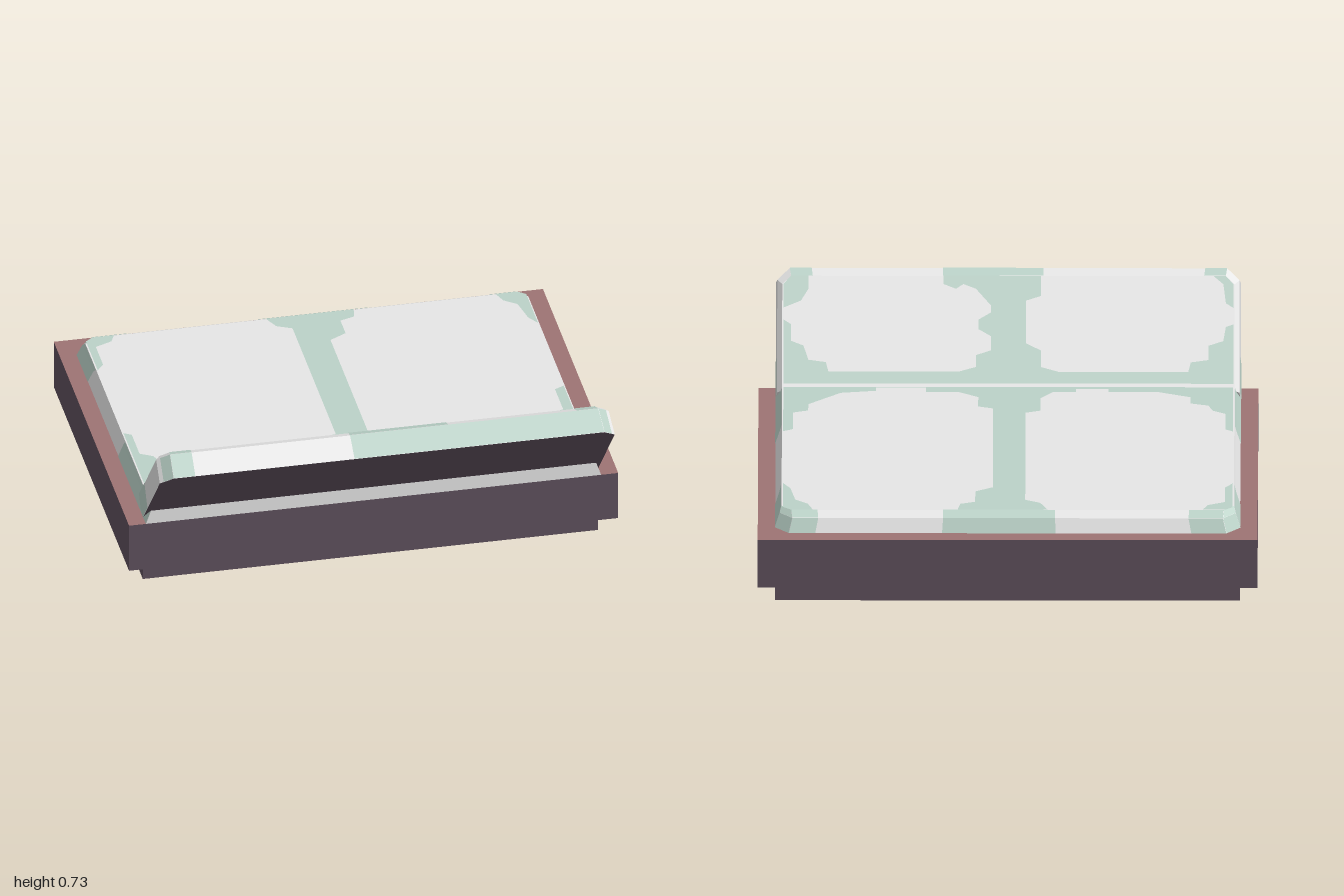
import * as THREE from 'three';

const mat = (name, color) => Object.assign(new THREE.MeshStandardMaterial({ color }), { name });

// Flat-shaded mesh from convex polygons, each a counter-clockwise list of Vector3
function polyMesh(name, polys, material) {
  const pos = [];
  for (const p of polys)
    for (let i = 1; i < p.length - 1; i++)
      for (const v of [p[0], p[i], p[i + 1]]) pos.push(v.x, v.y, v.z);
  const g = new THREE.BufferGeometry();
  g.setAttribute('position', new THREE.Float32BufferAttribute(pos, 3));
  g.computeVertexNormals();
  const m = new THREE.Mesh(g, material);
  m.name = name;
  return m;
}

// Cushion outline: square near end, clipped corners at the far end (-z)
const outline = (w, h, s0, L, c) =>
  [[-w, s0], [w, s0], [w, L - c], [w - c, L], [-w + c, L], [-w, L - c]]
    .map(([x, s]) => new THREE.Vector3(x, h, -s));

function bandQuad(rings, band, edge, t0, t1) {
  const at = (r, t) => rings[r][edge].clone().lerp(rings[r][(edge + 1) % 6], t);
  return [at(band, t0), at(band, t1), at(band + 1, t1), at(band + 1, t0)];
}

// Bevelled cushion with coloured patches on its edges and top
function cushion(name, rings, mats, edgePatches, topPatches) {
  const group = new THREE.Group();
  group.name = name;
  const faces = [rings[2]];
  for (let b = 0; b < 2; b++)
    for (let e = 0; e < 6; e++) faces.push(bandQuad(rings, b, e, 0, 1));
  group.add(polyMesh(name + 'Cover', faces, mats.cloth));
  group.add(polyMesh(name + 'Underside', [[...rings[0]].reverse()], mats.dark));

  // Edge patches sit just off the cover
  const quads = edgePatches.map(([b, e, t0, t1]) => {
    const q = bandQuad(rings, b, e, t0, t1);
    const n = q[1].clone().sub(q[0]).cross(q[3].clone().sub(q[0])).setLength(0.002);
    return q.map(v => v.add(n));
  });
  group.add(polyMesh(name + 'EdgePatches', quads, mats.green));

  // Top patches
  const shapes = topPatches.map(p => new THREE.Shape(p.map(q => new THREE.Vector2(...q))));
  const top = new THREE.Mesh(new THREE.ShapeGeometry(shapes), mats.green);
  top.name = name + 'TopPatches';
  top.rotation.x = -Math.PI / 2;
  top.position.y = rings[2][0].y + 0.002;
  group.add(top);
  return group;
}

export function createModel() {
  const model = new THREE.Group();
  model.name = 'lounger';
  const mats = {
    cloth: mat('pale cloth', 0xe6e6e6),
    green: mat('pale green', 0xbbd2c8),
    dark: mat('dark purple', 0x5f505d),
    rim: mat('rose brown', 0x9d7373),
  };

  // Base frame with a differently coloured top, on a recessed plinth
  const { dark, rim } = mats;
  const frame = new THREE.Mesh(new THREE.BoxGeometry(2, 0.21, 1.465), [dark, dark, rim, dark, dark, dark]);
  frame.name = 'baseFrame';
  frame.position.set(0, 0.19, -0.1475);
  const plinth = new THREE.Mesh(new THREE.BoxGeometry(1.86, 0.085, 1.335), dark);
  plinth.name = 'plinth';
  plinth.position.set(0, 0.0425, -0.1475);
  model.add(frame, plinth);

  // Mattress; patches are written as x, z
  const front = 0.585;
  const mattressTop = [
    // centre band with flared ends
    [[-0.16, -0.755], [-0.13, -0.69], [-0.07, -0.66], [-0.07, 0.18], [-0.13, 0.2], [-0.13, 0.32],
      [-0.18, 0.38], [-0.27, 0.38], [-0.27, 0.41], [-0.4, 0.41], [-0.4, 0.38], [-0.6, 0.38],
      [-0.73, 0.33], [-0.73, 0.27], [-0.8, 0.25], [-0.82, 0.2], [-0.87, 0.17], [-0.87, 0.02],
      [-0.9, 0], [-0.9, 0.45], [0.9, 0.45], [0.9, 0], [0.86, 0.02], [0.86, 0.18], [0.8, 0.2],
      [0.8, 0.26], [0.73, 0.32], [0.67, 0.37], [0.53, 0.39], [0.53, 0.42], [0.33, 0.42],
      [0.33, 0.38], [0.2, 0.38], [0.12, 0.33], [0.12, 0.24], [0.06, 0.22], [0.06, -0.54],
      [0.13, -0.58], [0.13, -0.68], [0.19, -0.7], [0.2, -0.755]],
    // back corners
    [[-0.9, -0.5], [-0.87, -0.54], [-0.87, -0.68], [-0.8, -0.71], [-0.78, -0.755], [-0.87, -0.755], [-0.9, -0.73]],
    [[0.9, -0.5], [0.87, -0.55], [0.85, -0.66], [0.8, -0.7], [0.78, -0.755], [0.87, -0.755], [0.9, -0.73]],
  ].map(p => p.map(([x, z]) => [x, front - z]));
  const mattressEdges = [];
  for (const b of [0, 1])
    mattressEdges.push([b, 1, 0, 0.4], [b, 1, 0.84, 1], [b, 2, 0, 1], [b, 3, 0, 0.06],
      [b, 3, 0.35, 0.61], [b, 3, 0.92, 1], [b, 4, 0, 1], [b, 5, 0, 0.16], [b, 5, 0.6, 1]);
  const mattress = cushion('mattress', [
    outline(0.93, 0, 0, 1.4, 0.055),
    outline(0.911, 0.055, 0, 1.375, 0.05),
    outline(0.905, 0.075, 0, 1.34, 0.04),
  ], mats, mattressEdges, mattressTop);
  mattress.position.set(0, 0.295, front);
  model.add(mattress);

  // Tilted backrest; patches are written as x, distance up the slope
  const backTop = [
    [[-0.9, 0], [-0.9, 0.25], [-0.87, 0.24], [-0.86, 0.18], [-0.8, 0.16], [-0.8, 0.1], [-0.73, 0.09],
      [-0.72, 0.05], [-0.2, 0.05], [-0.13, 0.07], [-0.13, 0.14], [-0.07, 0.17], [-0.07, 0.35],
      [-0.13, 0.37], [-0.13, 0.455], [0.26, 0.455], [0.26, 0.42], [0.21, 0.4], [0.18, 0.42],
      [0.13, 0.4], [0.07, 0.33], [0.07, 0.3], [0.12, 0.27], [0.12, 0.23], [0.07, 0.2], [0.07, 0.14],
      [0.13, 0.12], [0.13, 0.07], [0.2, 0.05], [0.72, 0.05], [0.73, 0.09], [0.8, 0.1], [0.82, 0.16],
      [0.87, 0.18], [0.87, 0.25], [0.9, 0.27], [0.9, 0]],
    [[0.9, 0.32], [0.83, 0.35], [0.8, 0.4], [0.8, 0.455], [0.87, 0.455], [0.9, 0.42]],
    [[-0.9, 0.32], [-0.87, 0.34], [-0.86, 0.42], [-0.82, 0.455], [-0.87, 0.455], [-0.9, 0.42]],
  ].map(p => p.map(([x, s]) => [-x, s])); // the backrest is turned to face the back
  const backEdges = [
    [0, 1, 0, 0.32], [0, 5, 0.68, 1], [0, 2, 0.3, 1], [0, 4, 0, 0.7],
    [0, 3, 0, 0.05], [0, 3, 0.42, 1], [1, 3, 0, 0.05], [1, 3, 0.42, 0.65], [1, 3, 0.95, 1],
  ];
  const backrest = cushion('backrest', [
    outline(0.93, 0, -0.03, 0.52, 0.05),
    outline(0.925, 0.107, -0.03, 0.495, 0.05),
    outline(0.905, 0.128, -0.03, 0.455, 0.035),
  ], mats, backEdges, backTop);
  backrest.rotation.set(0.82, Math.PI, 0, 'YXZ');
  backrest.position.set(0, 0.295, 0.53);
  model.add(backrest);

  return model;
}
